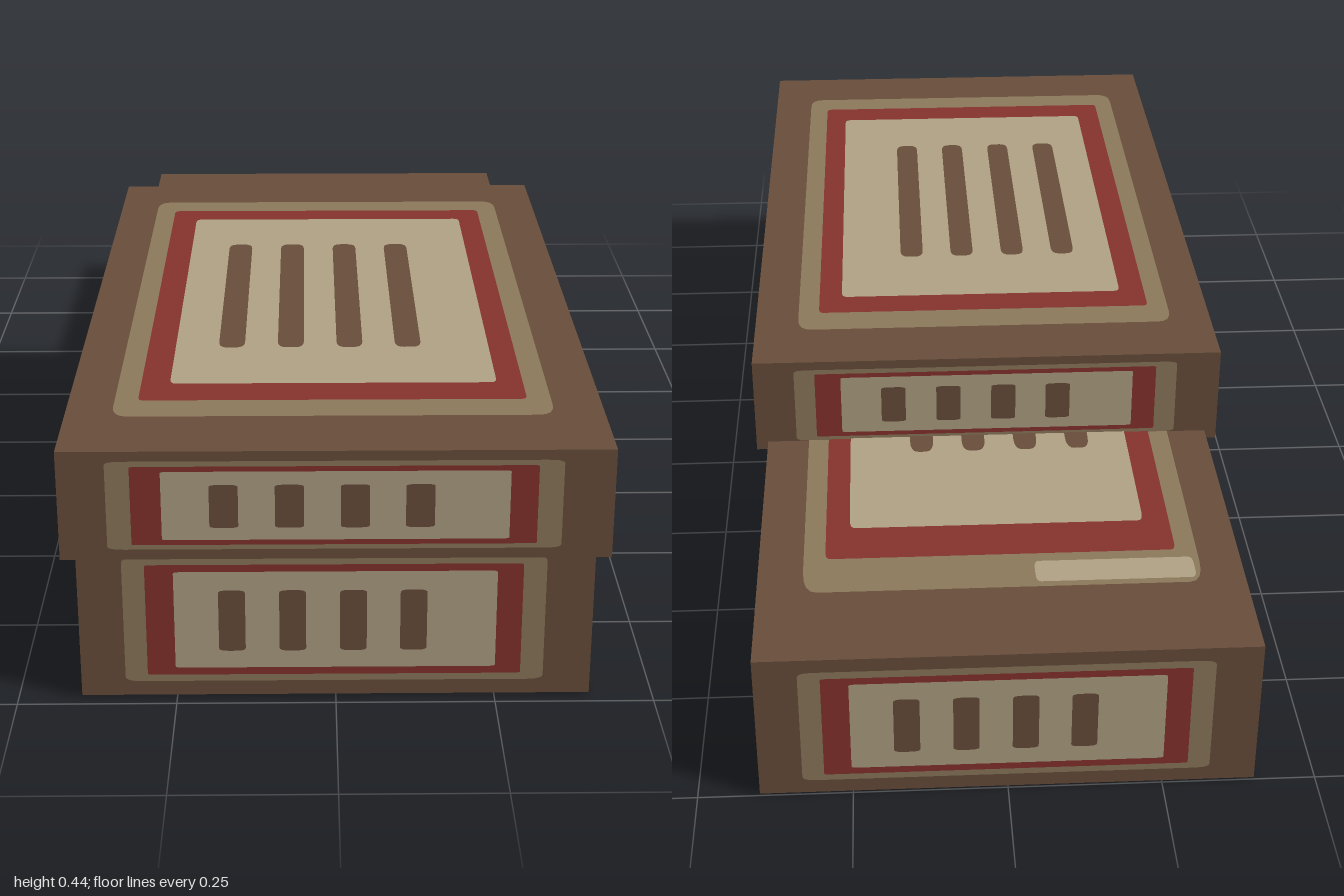
import * as THREE from 'three';

const mat = (name, color) => {
  const m = new THREE.MeshStandardMaterial({ color });
  m.name = name;
  return m;
};

// Rounded rectangle in 0..1 face coordinates
function roundedRect(u0, u1, v0, v1, r) {
  const s = new THREE.Shape();
  s.moveTo(u0 + r, v0);
  s.lineTo(u1 - r, v0);
  s.quadraticCurveTo(u1, v0, u1, v0 + r);
  s.lineTo(u1, v1 - r);
  s.quadraticCurveTo(u1, v1, u1 - r, v1);
  s.lineTo(u0 + r, v1);
  s.quadraticCurveTo(u0, v1, u0, v1 - r);
  s.lineTo(u0, v0 + r);
  s.quadraticCurveTo(u0, v0, u0 + r, v0);
  return s;
}

export function createModel() {
  const brown = mat('brown cover', 0x694e3b);
  const tan = mat('tan border', 0x8c795b);
  const red = mat('red frame', 0x86322d);
  const cream = mat('cream panel', 0xb0a284);

  // Painted layers shared by every face, from the outside in
  const bars = [0.298, 0.416, 0.534, 0.651].map(
    u => roundedRect(u - 0.026, u + 0.026, 0.303, 0.703, 0.018));
  const layers = [
    ['border', tan, [roundedRect(0.087, 0.907, 0.095, 0.912, 0.03)]],
    ['frame', red, [roundedRect(0.131, 0.862, 0.14, 0.866, 0.01)]],
    ['panel', cream, [roundedRect(0.186, 0.812, 0.189, 0.822, 0.012)]],
    ['bars', brown, bars],
  ].map(([name, material, shapes]) => {
    const geo = new THREE.ShapeGeometry(shapes, 4);
    geo.translate(-0.5, -0.5, 0);
    return { name, material, geo };
  });
  const wornGeo = new THREE.ShapeGeometry(roundedRect(0.1, 0.43, 0.877, 0.906, 0.01), 4);
  wornGeo.translate(-0.5, -0.5, 0);

  // Each face: name, across direction, up direction
  const faces = [
    ['front', [1, 0, 0], [0, 1, 0]],
    ['back', [-1, 0, 0], [0, 1, 0]],
    ['left', [0, 0, -1], [0, 1, 0]],
    ['right', [0, 0, 1], [0, 1, 0]],
    ['top', [1, 0, 0], [0, 0, -1]],
    ['bottom', [0, 0, -1], [1, 0, 0]],
  ];

  function block(name, width, y0, y1, z0, z1, worn) {
    const g = new THREE.Group();
    g.name = name;
    const size = new THREE.Vector3(width, y1 - y0, z1 - z0);
    const body = new THREE.Mesh(new THREE.BoxGeometry(size.x, size.y, size.z), brown);
    body.name = 'body';
    g.add(body);

    for (const [faceName, a, b] of faces) {
      const u = new THREE.Vector3(...a), v = new THREE.Vector3(...b);
      const n = u.clone().cross(v);
      const extent = d => Math.abs(d.dot(size.clone().multiply(
        new THREE.Vector3(Math.abs(d.x), Math.abs(d.y), Math.abs(d.z)))));
      const face = new THREE.Group();
      face.name = faceName + 'Label';
      face.quaternion.setFromRotationMatrix(new THREE.Matrix4().makeBasis(u, v, n));
      face.position.copy(n).multiplyScalar(extent(n) / 2);
      const add = (partName, geo, material, lift) => {
        const m = new THREE.Mesh(geo, material);
        m.name = partName;
        m.scale.set(extent(u), extent(v), 1);
        m.position.z = lift;
        face.add(m);
      };
      layers.forEach((l, i) => add(l.name, l.geo, l.material, 0.001 * (i + 1)));
      // Worn strip along the far edge of the border
      if (worn && faceName === 'top') add('wornStrip', wornGeo, cream, 0.002);
      g.add(face);
    }
    g.position.set(0, (y0 + y1) / 2, (z0 + z1) / 2);
    return g;
  }

  const model = new THREE.Group();
  model.name = 'stackedBlocks';
  model.add(
    block('lowerBlock', 0.8, 0, 0.266, -1, 0.98, true),
    block('upperBlock', 0.842, 0.25, 0.43, -0.357, 1, false),
  );
  return model;
}
